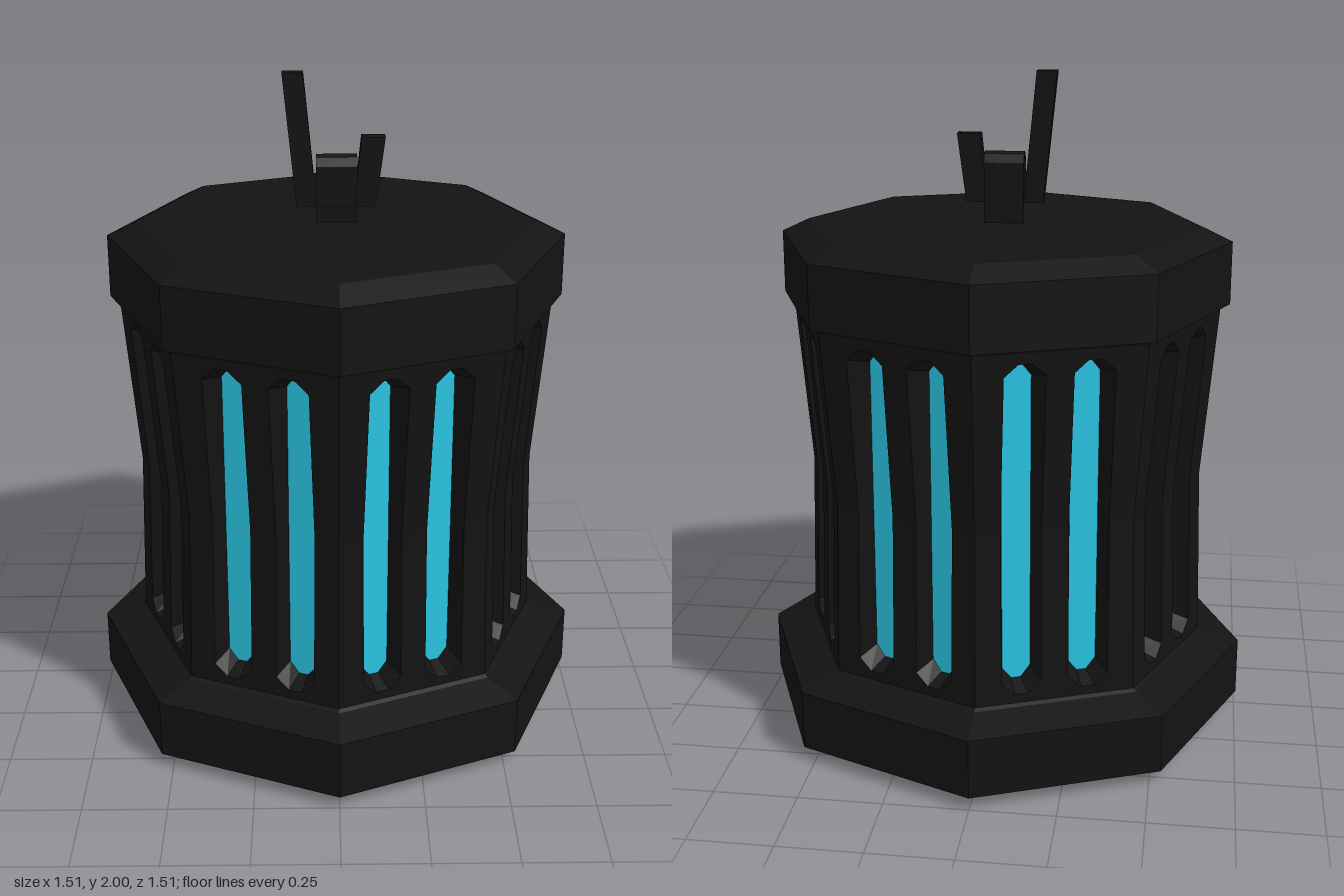
import * as THREE from 'three';

const black = new THREE.MeshStandardMaterial({ color: 0x131313, flatShading: true, side: THREE.DoubleSide });
const cyan = new THREE.MeshStandardMaterial({ color: 0x29c5e2, flatShading: true, side: THREE.DoubleSide });

const SIDES = 8, HALF = Math.PI / SIDES;
const BOTTOM = 0.24, WAIST = 0.78, TOP = 1.31;   // body heights
const INNER = 0.512;                             // distance of the glowing strips from the axis
const SLOT_X = 0.1, SLOT_W = 0.06, GLOW_W = 0.042;

function mesh(name, geometry, material = black) {
  const m = new THREE.Mesh(geometry, material);
  m.name = name;
  return m;
}

function lathe(name, profile) {
  return mesh(name, new THREE.LatheGeometry(profile.map(p => new THREE.Vector2(...p)), SIDES));
}

function polygon(points) {
  return new THREE.Shape(points.map(p => new THREE.Vector2(...p)));
}

// Distance of a body face from the axis: pinched at the waist
function apothem(y) {
  const radius = y > WAIST
    ? THREE.MathUtils.mapLinear(y, WAIST, TOP, 0.612, 0.657)
    : THREE.MathUtils.mapLinear(y, BOTTOM, WAIST, 0.627, 0.612);
  return radius * Math.cos(HALF);
}

// Half of one wall panel: a comb with two pointed notches, flared outwards
function panelGeometry(endY, tipY) {
  const dir = Math.sign(endY - WAIST);
  const edge = 0.24, shoulder = tipY - dir * 0.035;
  const points = [[-edge, WAIST]];
  for (const c of [-SLOT_X, SLOT_X]) {
    points.push([c - SLOT_W, WAIST], [c - SLOT_W, shoulder], [c - 0.02, tipY],
      [c + 0.02, tipY], [c + SLOT_W, shoulder], [c + SLOT_W, WAIST]);
  }
  points.push([edge, WAIST], [edge, endY], [-edge, endY]);
  const g = new THREE.ExtrudeGeometry(polygon(points), { depth: 1, bevelEnabled: false });
  const p = g.attributes.position;
  for (let i = 0; i < p.count; i++) {
    let x = p.getX(i), y = p.getY(i);
    const outer = p.getZ(i) > 0.5;
    const z = outer ? apothem(y) : INNER;
    if (Math.abs(x) > 0.2) {
      x = Math.sign(x) * z * Math.tan(HALF);     // mitre at the corners
    } else if (!outer) {
      const c = Math.sign(x) * SLOT_X;           // slot narrows inwards
      x = c + (x - c) * GLOW_W / SLOT_W;
      if (y !== WAIST) y -= dir * 0.022;
    }
    p.setXYZ(i, x, y, z);
  }
  g.computeVertexNormals();
  return g;
}

export function createModel() {
  const model = new THREE.Group();
  model.name = 'lantern';

  model.add(lathe('base', [[0, 0], [0.6, 0], [0.755, 0.04], [0.755, 0.22], [0.64, 0.25], [0.61, 0.265], [0, 0.265]]));
  model.add(lathe('cap', [[0, 1.29], [0.645, 1.29], [0.665, 1.32], [0.685, 1.32], [0.685, 1.51], [0.6, 1.55], [0, 1.55]]));

  // Eight walls, each with two glowing strips
  const upper = panelGeometry(TOP, 1.277), lower = panelGeometry(BOTTOM, 0.283);
  const w = GLOW_W + 0.004;
  const strip = new THREE.ShapeGeometry(polygon([[-0.014, 0.3], [0.014, 0.3], [w, 0.33], [w, 1.23],
    [0.014, 1.26], [-0.014, 1.26], [-w, 1.23], [-w, 0.33]]));
  for (let i = 0; i < SIDES; i++) {
    const wall = new THREE.Group();
    wall.name = 'wall';
    wall.add(mesh('upperFrame', upper), mesh('lowerFrame', lower));
    for (const s of [-1, 1]) {
      const glow = mesh('glowStrip', strip, cyan);
      glow.position.set(s * SLOT_X, 0, INNER + 0.001);
      wall.add(glow);
    }
    wall.rotation.y = (2 * i + 1) * HALF;
    model.add(wall);
  }

  // Folded strap hooked over the hanger
  const strap = [[0, 1.54], [0, 1.73], [0.015, 1.755], [0.03, 1.762], [0.045, 1.755], [0.06, 1.73], [0.06, 1.61],
    [0.054, 1.61], [0.054, 1.728], [0.042, 1.748], [0.03, 1.754], [0.018, 1.748], [0.006, 1.728], [0.006, 1.54]];
  const strapGeometry = new THREE.ExtrudeGeometry(polygon(strap), { depth: 0.12, bevelEnabled: false });
  strapGeometry.translate(0, 0, -0.06).rotateY(-Math.PI / 2);
  model.add(mesh('strap', strapGeometry));

  // Broken hanger: crossbar with one long and one short arm
  const hanger = [[-0.118, 1.61], [0.115, 1.61], [0.142, 1.815], [0.072, 1.815], [0.06, 1.7],
    [-0.067, 1.7], [-0.096, 2], [-0.157, 2]];
  const hangerGeometry = new THREE.ExtrudeGeometry(polygon(hanger), { depth: 0.042, bevelEnabled: false });
  hangerGeometry.translate(0, 0, 0.01);
  model.add(mesh('hanger', hangerGeometry));

  return model;
}
